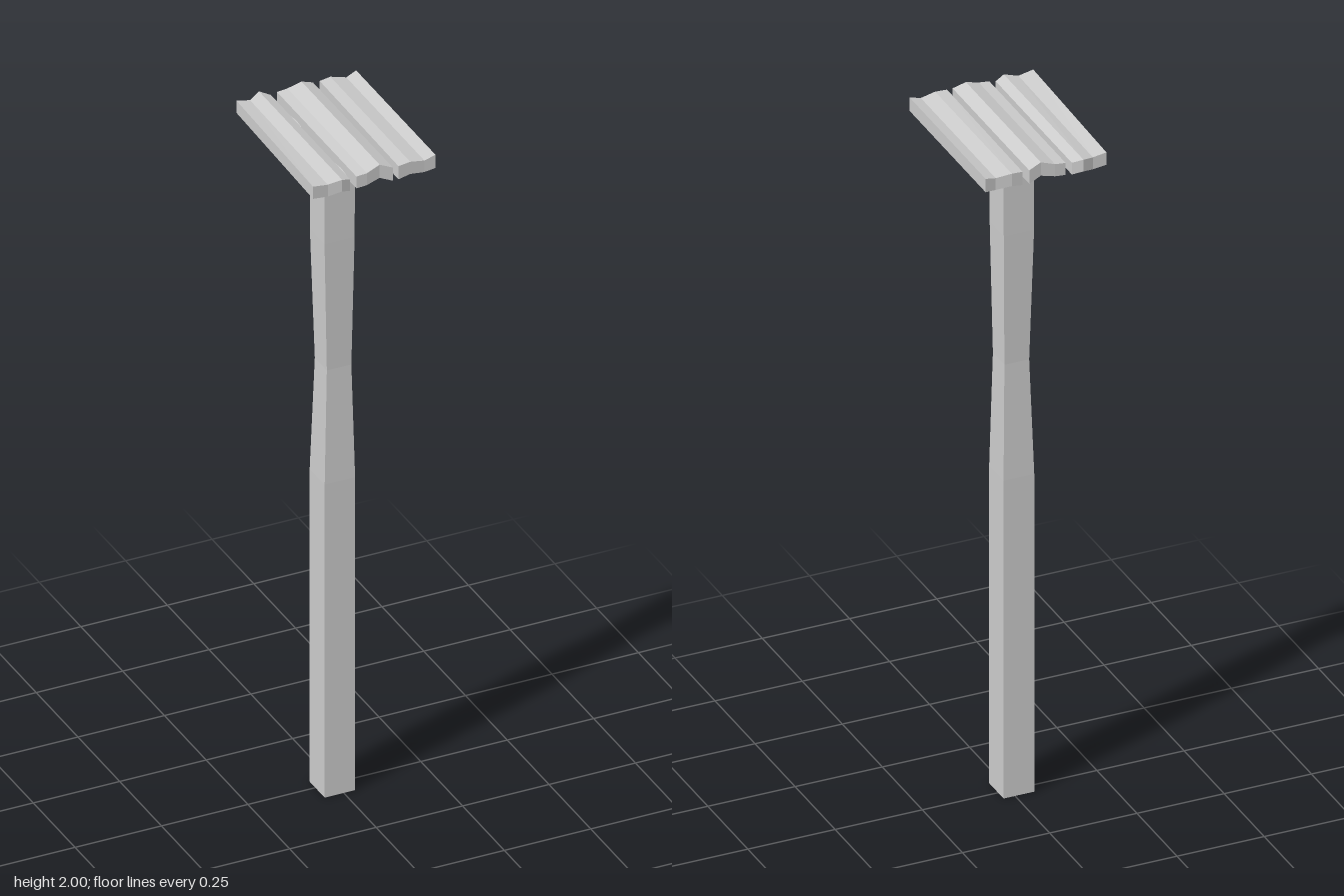
import * as THREE from 'three';

const material = new THREE.MeshStandardMaterial({ color: 0xcccccc, flatShading: true });

// Lofts closed rings of [x, y, z] points (counter-clockwise seen from the last ring) and caps both ends.
function loft(name, rings) {
  const n = rings[0].length;
  const index = [];
  for (let r = 0; r < rings.length - 1; r++) {
    for (let i = 0; i < n; i++) {
      const a = r * n + i, b = r * n + (i + 1) % n;
      index.push(a, b, b + n, a, b + n, a + n);
    }
  }
  // caps are strips between the lower and upper half of the ring
  const end = (rings.length - 1) * n;
  for (let i = 0; i < n / 2 - 1; i++) {
    const a = i, b = i + 1, c = n - 2 - i, d = n - 1 - i;
    index.push(a, c, b, a, d, c);
    index.push(end + a, end + b, end + c, end + a, end + c, end + d);
  }
  const geometry = new THREE.BufferGeometry();
  geometry.setAttribute('position', new THREE.Float32BufferAttribute(rings.flat(2), 3));
  geometry.setIndex(index);
  const flat = geometry.toNonIndexed();
  flat.computeVertexNormals();
  const mesh = new THREE.Mesh(flat, material);
  mesh.name = name;
  return mesh;
}

// Plank running along z; each column is [x, bottom, top, back z, front z, x shift at the back].
function plank(name, columns) {
  const ring = (front) => {
    const point = ([x, low, high, back, fore, shift = 0], y) =>
      [front ? x : x + shift, y, front ? fore : back];
    return [
      ...columns.map((c) => point(c, c[1])),
      ...[...columns].reverse().map((c) => point(c, c[2])),
    ];
  };
  return loft(name, [ring(false), ring(true)]);
}

// Square post: each level is [y, x min, x max, z min, z max].
function post(levels) {
  return loft('post', levels.map(([y, x0, x1, z0, z1]) =>
    [[x0, y, z1], [x1, y, z1], [x1, y, z0], [x0, y, z0]]));
}

// Batten across the planks, with a chamfered underside.
function batten(name, z, low) {
  const section = [[0.033, 1.938], [0.018, low], [-0.018, low], [-0.033, 1.938],
    [-0.033, 1.956], [-0.006, 1.96], [0.006, 1.96], [0.033, 1.956]];
  return loft(name, [-0.152, 0.143].map((x) => section.map(([dz, y]) => [x, y, z + dz])));
}

export function createModel() {
  const group = new THREE.Group();
  group.name = 'plankTable';

  // Post with a worn waist
  group.add(post([
    [0, -0.055, 0.033, -0.034, 0.056],
    [0.95, -0.055, 0.033, -0.034, 0.056],
    [1.29, -0.045, 0.026, -0.024, 0.048],
    [1.68, -0.055, 0.032, -0.033, 0.055],
    [1.955, -0.055, 0.033, -0.034, 0.056],
  ]));

  // Uneven top planks
  group.add(plank('rightPlank', [
    [-0.179, 1.951, 1.988, -0.236, 0.243, 0.01],
    [-0.135, 1.945, 1.981, -0.234, 0.24, 0.004],
    [-0.097, 1.955, 1.99, -0.25, 0.248],
    [-0.07, 1.945, 1.98, -0.236, 0.24],
  ]));
  group.add(plank('middlePlank', [
    [-0.052, 1.948, 1.984, -0.236, 0.24],
    [-0.022, 1.951, 1.987, -0.236, 0.241],
    [0.017, 1.96, 2.0, -0.232, 0.236],
    [0.052, 1.946, 1.986, -0.236, 0.243],
  ]));
  group.add(plank('leftPlank', [
    [0.068, 1.946, 1.986, -0.235, 0.243, 0.003],
    [0.103, 1.952, 1.989, -0.238, 0.241],
    [0.145, 1.946, 1.981, -0.229, 0.239],
    [0.177, 1.95, 1.99, -0.236, 0.239],
  ]));

  // Battens under the planks
  group.add(batten('backBatten', -0.12, 1.926));
  group.add(batten('frontBatten', 0.148, 1.925));
  return group;
}
